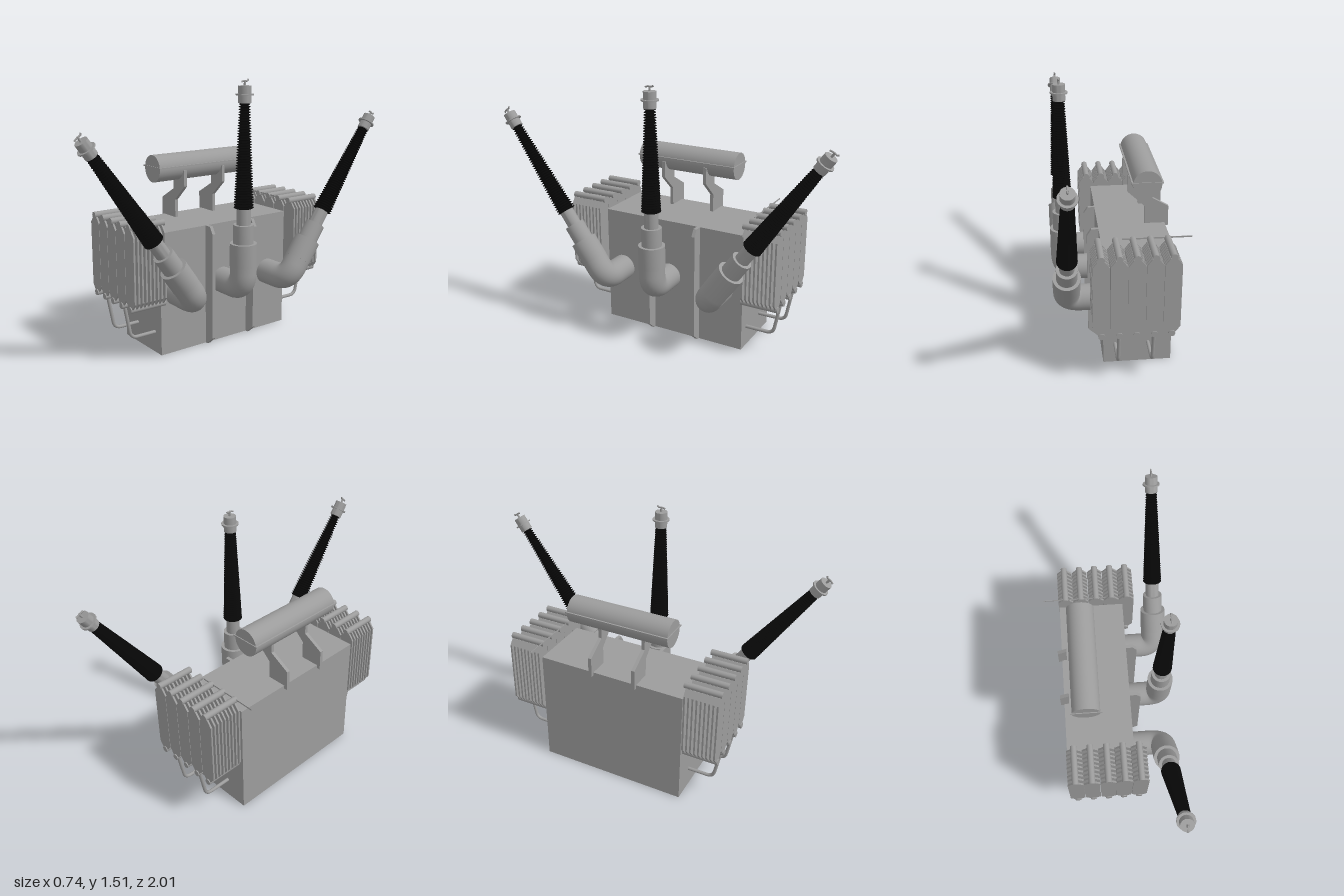
import * as THREE from 'three';
import { toCreasedNormals } from 'three/addons/utils/BufferGeometryUtils.js';

const paint = new THREE.MeshStandardMaterial({ color: 0x9c9c9c });
const black = new THREE.MeshStandardMaterial({ color: 0x060606 });

function add(parent, name, geometry, x = 0, y = 0, z = 0, material = paint) {
  const mesh = new THREE.Mesh(geometry, material);
  mesh.name = name;
  mesh.position.set(x, y, z);
  parent.add(mesh);
  return mesh;
}

const box = (w, h, d) => new THREE.BoxGeometry(w, h, d);
const rodZ = (r, length, sides) => new THREE.CylinderGeometry(r, r, length, sides).rotateX(Math.PI / 2);
const lathe = (points, sides) => toCreasedNormals(
  new THREE.LatheGeometry(points.map(([r, y]) => new THREE.Vector2(r, y)), sides), 0.6);

// Flat plate in the xy plane, centred on z = 0
function plate(points, thickness) {
  const shape = new THREE.Shape(points.map(([x, y]) => new THREE.Vector2(x, y)));
  return new THREE.ExtrudeGeometry(shape, { depth: thickness, bevelEnabled: false })
    .translate(0, 0, -thickness / 2);
}

// Pipe through points, with every inner corner rounded
function pipe(points, bend, radius, sides) {
  const p = points.map((a) => new THREE.Vector3(...a));
  const path = new THREE.CurvePath();
  let from = p[0];
  for (let i = 1; i < p.length - 1; i++) {
    const a = p[i].clone().add(p[i - 1].clone().sub(p[i]).setLength(bend));
    const b = p[i].clone().add(p[i + 1].clone().sub(p[i]).setLength(bend));
    path.add(new THREE.LineCurve3(from, a));
    path.add(new THREE.QuadraticBezierCurve3(a, p[i], b));
    from = b;
  }
  path.add(new THREE.LineCurve3(from, p[p.length - 1]));
  return new THREE.TubeGeometry(path, 40, radius, sides);
}

// Elbow turret, ribbed insulator and terminal, leaning by a turn about x
function createBushing(name, y, z, lean) {
  const g = new THREE.Group();
  g.name = name;
  g.position.set(0.292, y, z);
  g.rotation.x = lean;
  add(g, 'elbow', pipe([[-0.2, 0, 0], [0, 0, 0], [0, 0.2, 0]], 0.085, 0.074, 32));
  add(g, 'turret', lathe([
    [0, 0.13], [0.075, 0.13], [0.075, 0.26], [0.057, 0.26], [0.057, 0.365],
    [0.04, 0.365], [0.04, 0.46], [0, 0.46],
  ], 32));

  // Closely spaced thin sheds on a tapering core
  const sheds = 40, bottom = 0.455, top = 1.028;
  const step = (top - bottom) / sheds;
  const profile = [[0, bottom]];
  for (let i = 0; i < sheds; i++) {
    const r = 0.055 - 0.023 * (i / (sheds - 1));
    const base = bottom + i * step;
    profile.push([r - 0.011, base], [r, base + step * 0.4], [r - 0.011, base + step * 0.75]);
  }
  profile.push([0.021, top], [0, top]);
  add(g, 'insulator', lathe(profile, 28), 0, 0, 0, black);

  add(g, 'cap', lathe([
    [0, 1.025], [0.035, 1.025], [0.035, 1.065], [0.048, 1.065], [0.048, 1.073],
    [0.035, 1.073], [0.035, 1.115], [0, 1.115],
  ], 32));
  add(g, 'terminalStem', new THREE.CylinderGeometry(0.006, 0.006, 0.03, 10), 0, 1.128, 0);
  add(g, 'terminalBar', pipe(
    [[0, 1.134, 0.026], [0, 1.139, 0.012], [0, 1.139, -0.016], [0, 1.147, -0.024]], 0.004, 0.005, 8));
  return g;
}

// Bank of thin cooling panels between pairs of headers; side is +1 at the front, -1 at the back
function createRadiatorBank(name, side) {
  const g = new THREE.Group();
  g.name = name;
  g.position.z = -0.021;
  const panel = plate([
    [-0.018, 0.325], [0.018, 0.325], [0.0445, 0.36], [0.0445, 0.722],
    [0.018, 0.757], [-0.018, 0.757], [-0.0445, 0.722], [-0.0445, 0.36],
  ], 0.01);
  const header = rodZ(0.018, 0.219, 16);
  for (let column = 0; column < 5; column++) {
    const x = -0.241 + column * 0.0917;
    for (const y of [0.32, 0.768]) add(g, 'header', header, x, y, side * 0.5535);
    for (let i = 0; i < 9; i++) add(g, 'coolingPanel', panel, x, 0, side * (0.462 + i * 0.0238));
    // Return pipes run from the second and fourth columns back to the tank
    if (column % 2 === 1) {
      add(g, 'returnPipe', pipe(
        [[x, 0.32, side * 0.643], [x, 0.12, side * 0.605], [x, 0.12, side * 0.435]], 0.04, 0.01, 12));
    }
  }
  return g;
}

export function createModel() {
  const model = new THREE.Group();
  model.name = 'transformer';

  add(model, 'tank', box(0.38, 0.7, 0.89), -0.09, 0.35, -0.015);

  // Upright stiffeners on the bushing side
  const rib = plate([[0.09, 0], [0.115, 0], [0.165, 0.045], [0.165, 0.66], [0.14, 0.7], [0.09, 0.7]], 0.02);
  for (const z of [0.117, -0.18]) add(model, 'stiffener', rib, 0, 0, z);

  // Oil conservator with its seam flange and brackets
  add(model, 'conservator', rodZ(0.078, 0.615, 40), -0.155, 1.004, 0.002);
  add(model, 'conservatorFlange', box(0.172, 0.008, 0.625), -0.155, 1.014, 0.002);
  const bracket = plate([
    [-0.3, 0.68], [-0.28, 0.68], [-0.28, 0.7], [-0.165, 0.7], [-0.165, 0.805], [-0.07, 0.895],
    [-0.07, 0.99], [-0.18, 0.99], [-0.18, 0.87], [-0.3, 0.8],
  ], 0.02);
  for (const z of [0.142, -0.128]) add(model, 'conservatorBracket', bracket, 0, 0, z);

  // Thin strip beside the rear radiators
  add(model, 'sideStrip', box(0.37, 0.008, 0.003), -0.185, 0.775, -0.473);

  // Radiator banks on both ends
  model.add(createRadiatorBank('frontRadiators', 1), createRadiatorBank('backRadiators', -1));

  // Three bushings fanned out along z
  const lean = THREE.MathUtils.degToRad(35.3);
  model.add(
    createBushing('frontBushing', 0.35, 0.325, lean),
    createBushing('middleBushing', 0.362, 0.01, 0),
    createBushing('backBushing', 0.35, -0.325, -lean),
  );
  return model;
}
